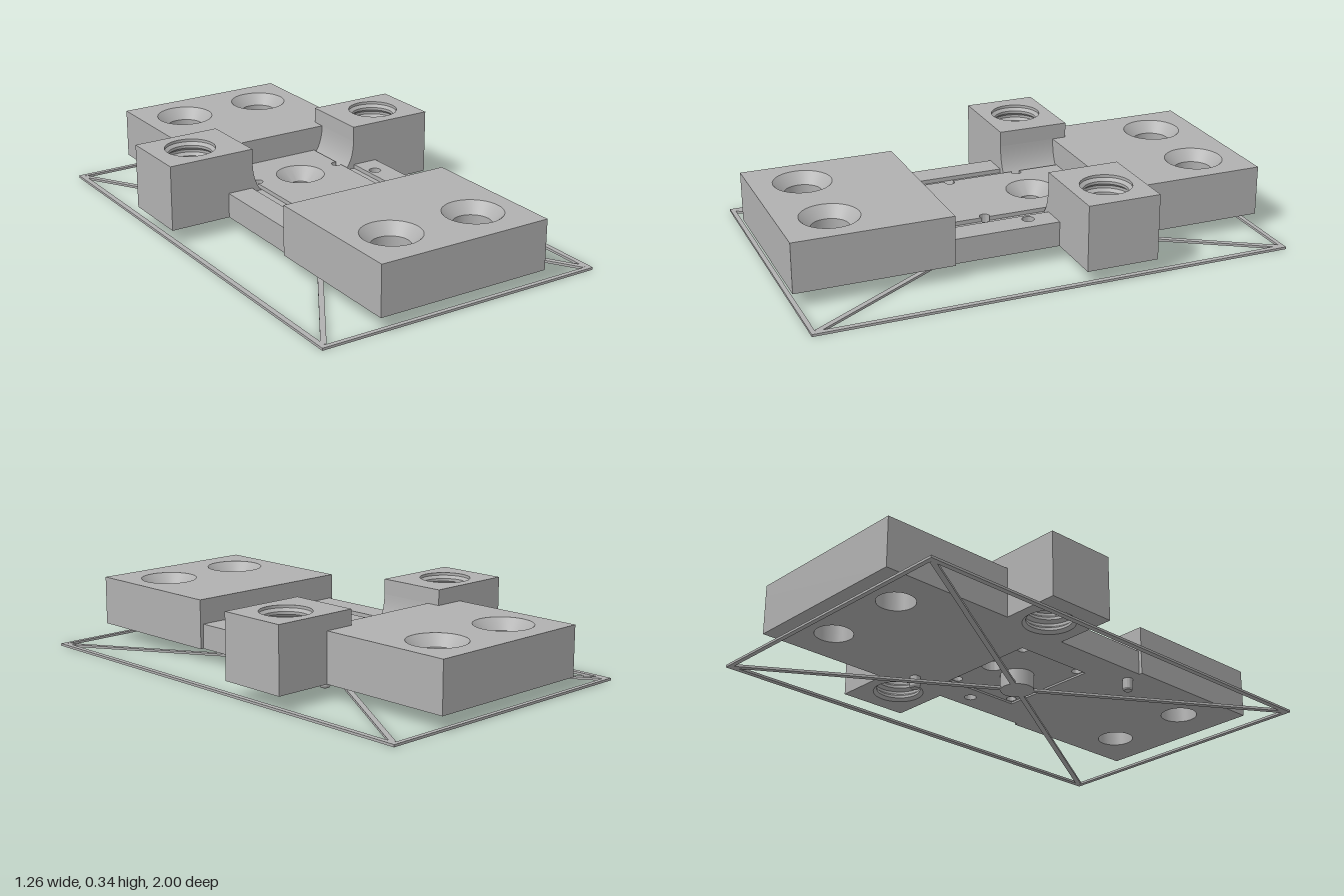
import * as THREE from 'three';
import { toCreasedNormals } from 'three/addons/utils/BufferGeometryUtils.js';

export function createModel() {
  const model = new THREE.Group();
  const grey = new THREE.MeshStandardMaterial({ color: 0xb0b0b0, side: THREE.DoubleSide });
  grey.name = 'plain grey';

  const add = (name, geo, x = 0, y = 0, z = 0, parent = model) => {
    const mesh = new THREE.Mesh(geo, grey);
    mesh.name = name;
    mesh.position.set(x, y, z);
    parent.add(mesh);
    return mesh;
  };
  const outline = pts => new THREE.Shape(pts.map(([x, z]) => new THREE.Vector2(x, -z)));
  const rect = (x0, x1, z0, z1) => outline([[x0, z1], [x1, z1], [x1, z0], [x0, z0]]);
  const circle = ([x, z, r]) => new THREE.Path().absarc(x, -z, r, 0, Math.PI * 2, true);

  // Flat layer between two heights, with round holes [x, z, radius]
  const slab = (name, shape, y0, y1, holes = [], parent = model) => {
    shape.holes.push(...holes.map(circle));
    const geo = new THREE.ExtrudeGeometry(shape, { depth: y1 - y0, bevelEnabled: false, curveSegments: 20 });
    geo.rotateX(-Math.PI / 2);
    return add(name, toCreasedNormals(geo, 0.5), 0, y0, 0, parent);
  };
  const bore = (name, pts, x, z, parent = model) => add(name, toCreasedNormals(
    new THREE.LatheGeometry(pts.map(p => new THREE.Vector2(...p)), 40), 0.5), x, 0, z, parent);

  // End blocks with two countersunk holes each
  for (const [name, z0, z1, hz] of [['frontBlock', 0.345, 1, 0.79], ['backBlock', -1, -0.35, -0.8]]) {
    const block = new THREE.Group();
    block.name = name;
    model.add(block);
    const holes = r => [[-0.19, hz, r], [0.19, hz, r]];
    slab('blockBody', rect(-0.38, 0.38, z0, z1), 0.06, 0.225, holes(0.077), block);
    slab('blockTop', rect(-0.38, 0.38, z0, z1), 0.225, 0.27, holes(0.121), block);
    for (const x of [-0.19, 0.19]) bore('countersink', [[0.121, 0.27], [0.077, 0.225]], x, hz, block);
  }

  // Middle plate, notched where the lugs stand
  const middle = () => outline([[-0.365, 0.345], [0.365, 0.345], [0.365, -0.105], [0.25, -0.105],
    [0.25, -0.35], [-0.25, -0.35], [-0.25, -0.105], [-0.365, -0.105]]);
  const sideHole = [0.29, 0, 0.025];
  const screwHoles = [];
  for (const x of [-0.196, 0.196]) for (const z of [-0.155, 0.15]) screwHoles.push([x, z, 0.021]);
  const bottom = middle();
  bottom.holes.push(rect(-0.22, 0.22, -0.18, 0.175));
  // The centre hole sits just inside the shallow underside recess
  slab('middleUnderside', bottom, 0.06, 0.068, [sideHole]);
  slab('middlePlate', middle(), 0.068, 0.115, [sideHole, [0, -0.135, 0.045], ...screwHoles]);
  slab('middleUpper', middle(), 0.115, 0.148, [sideHole, [0, -0.135, 0.102], ...screwHoles]);
  bore('centreCountersink', [[0.102, 0.165], [0.045, 0.115]], 0, -0.135);

  // Raised centre panel, bitten by the screw holes at its edges
  const panel = new THREE.Shape();
  const a = 1.02;
  panel.moveTo(-0.207, -0.345).lineTo(0.207, -0.345);
  for (const y of [-0.15, 0.155]) panel.absarc(0.196, y, 0.021, -a, a, true);
  panel.lineTo(0.207, 0.35).lineTo(-0.207, 0.35);
  for (const y of [0.155, -0.15]) panel.absarc(-0.196, y, 0.021, Math.PI - a, Math.PI + a, true);
  slab('centrePanel', panel, 0.148, 0.165, [[0, -0.135, 0.102]]);
  slab('leftRail', rect(0.254, 0.365, -0.105, 0.345), 0.148, 0.165, [sideHole]);
  slab('rightRail', rect(-0.365, -0.254, -0.105, 0.345), 0.148, 0.165);

  // Threaded lugs with a concave foot on the inner side
  const thread = [];
  const turns = 6, pitch = 0.275 / turns;
  for (let i = 0; i < turns; i++) {
    const y = 0.335 - i * pitch;
    thread.push([0.105, y], [0.105, y - pitch * 0.25], [0.091, y - pitch * 0.5], [0.091, y - pitch * 0.75]);
  }
  thread.push([0.105, 0.06]);
  for (const s of [-1, 1]) {
    const lug = new THREE.Group();
    lug.name = s > 0 ? 'leftLug' : 'rightLug';
    model.add(lug);
    const xs = [s * 0.25, s * 0.628].sort((p, q) => p - q);
    slab('lugBody', rect(xs[0], xs[1], -0.41, -0.105), 0.06, 0.335, [[s * 0.455, -0.26, 0.105]], lug);
    bore('lugThread', thread, s * 0.455, -0.26, lug);
    const foot = new THREE.Shape();
    foot.moveTo(s * 0.25, 0.27);
    foot.quadraticCurveTo(s * 0.248, 0.19, s * 0.21, 0.148);
    foot.lineTo(s * 0.25, 0.148);
    add('lugFoot', toCreasedNormals(new THREE.ExtrudeGeometry(foot,
      { depth: 0.245, bevelEnabled: false, curveSegments: 10 }), 0.5), 0, 0, -0.35, lug);
  }

  // Centre post and two locating pins under the plate
  add('centrePost', new THREE.CylinderGeometry(0.07, 0.07, 0.07, 40), 0, 0.035, 0);
  for (const [x, z] of [[0.29, -0.305], [-0.295, 0.35]]) {
    bore('locatingPin', [[0, 0.01], [0.017, 0.01], [0.022, 0.018], [0.022, 0.062]], x, z);
  }

  // Thin ground frame with crossing diagonals
  const frame = rect(-0.628, 0.628, -1, 1);
  frame.holes.push(rect(-0.606, 0.606, -0.981, 0.981));
  slab('groundFrame', frame, 0, 0.01);
  for (const s of [-1, 1]) {
    const bar = add('diagonalBar', new THREE.BoxGeometry(0.022, 0.01, 2.3), 0, 0.005, 0);
    bar.rotation.y = s * Math.atan2(0.61, 0.98);
  }
  return model;
}
